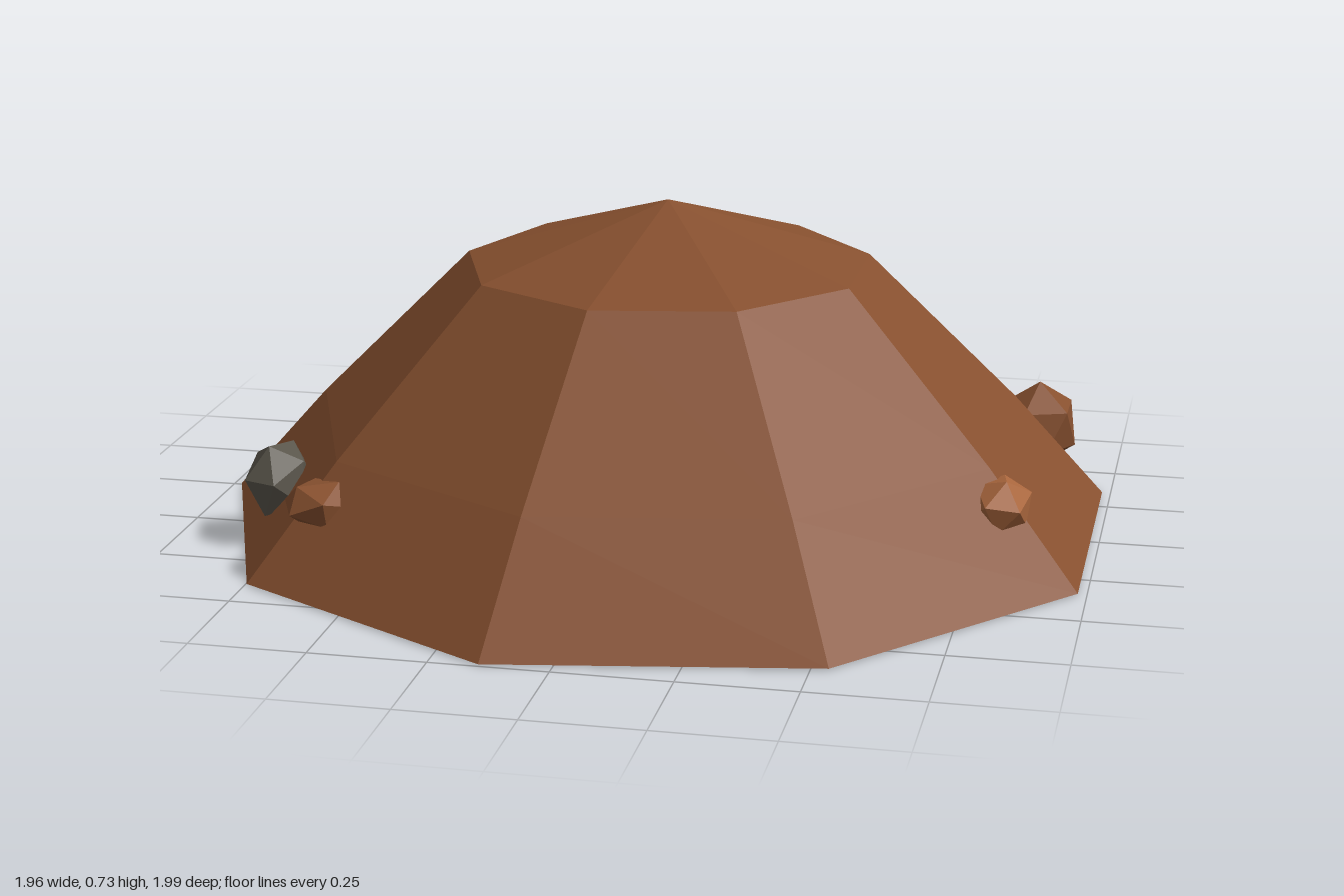
import * as THREE from 'three';

const mat = (name, color, flatShading = true) => {
  const m = new THREE.MeshStandardMaterial({ color, flatShading });
  m.name = name;
  return m;
};

export function createModel() {
  const model = new THREE.Group();
  model.name = 'dirtMound';
  const earth = mat('earth brown', 0x87502f);
  const clay = mat('light clay', 0xa9663d);
  const stone = mat('grey stone', 0x5a564c);

  // Nine-sided mound, closed underneath
  const profile = [[0, 0], [1.012, 0], [0.80, 0.24], [0.455, 0.585], [0, 0.725]]
    .map(([r, y]) => new THREE.Vector2(r, y));
  const mound = new THREE.Mesh(new THREE.LatheGeometry(profile, 9, -Math.PI / 2), earth);
  mound.name = 'mound';
  mound.position.x = 0.03;
  model.add(mound);

  // Faceted lumps half buried in the slope: centre, half sizes, rotation
  const rocks = [
    ['largeClod', earth, [0.815, 0.1, -0.53], [0.097, 0.103, 0.11], [0, 0, 0.55]],
    ['greyStone', stone, [-0.772, 0.135, 0.34], [0.075, 0.09, 0.105], [0.3, 0.2, -0.4]],
    ['rightClod', clay, [0.81, 0.17, 0.3], [0.07, 0.065, 0.09], [0.2, -0.3, 0.3]],
    ['upperClod', clay, [-0.71, 0.18, -0.3], [0.08, 0.09, 0.11], [0.4, 0.3, 0.2]],
    ['lowerClod', clay, [-0.8, 0.135, -0.21], [0.055, 0.055, 0.07], [0.1, 0.5, 0.4]],
    ['frontClod', earth, [-0.605, 0.16, 0.56], [0.085, 0.055, 0.085], [0.2, 0.4, 0.1]],
  ];
  for (const [name, material, centre, size, turn] of rocks) {
    const g = new THREE.IcosahedronGeometry(1, 0);
    g.rotateX(turn[0]).rotateY(turn[1]).rotateZ(turn[2]);
    g.scale(...size);
    const rock = new THREE.Mesh(g, material);
    rock.name = name;
    rock.position.set(...centre);
    model.add(rock);
  }
  return model;
}
